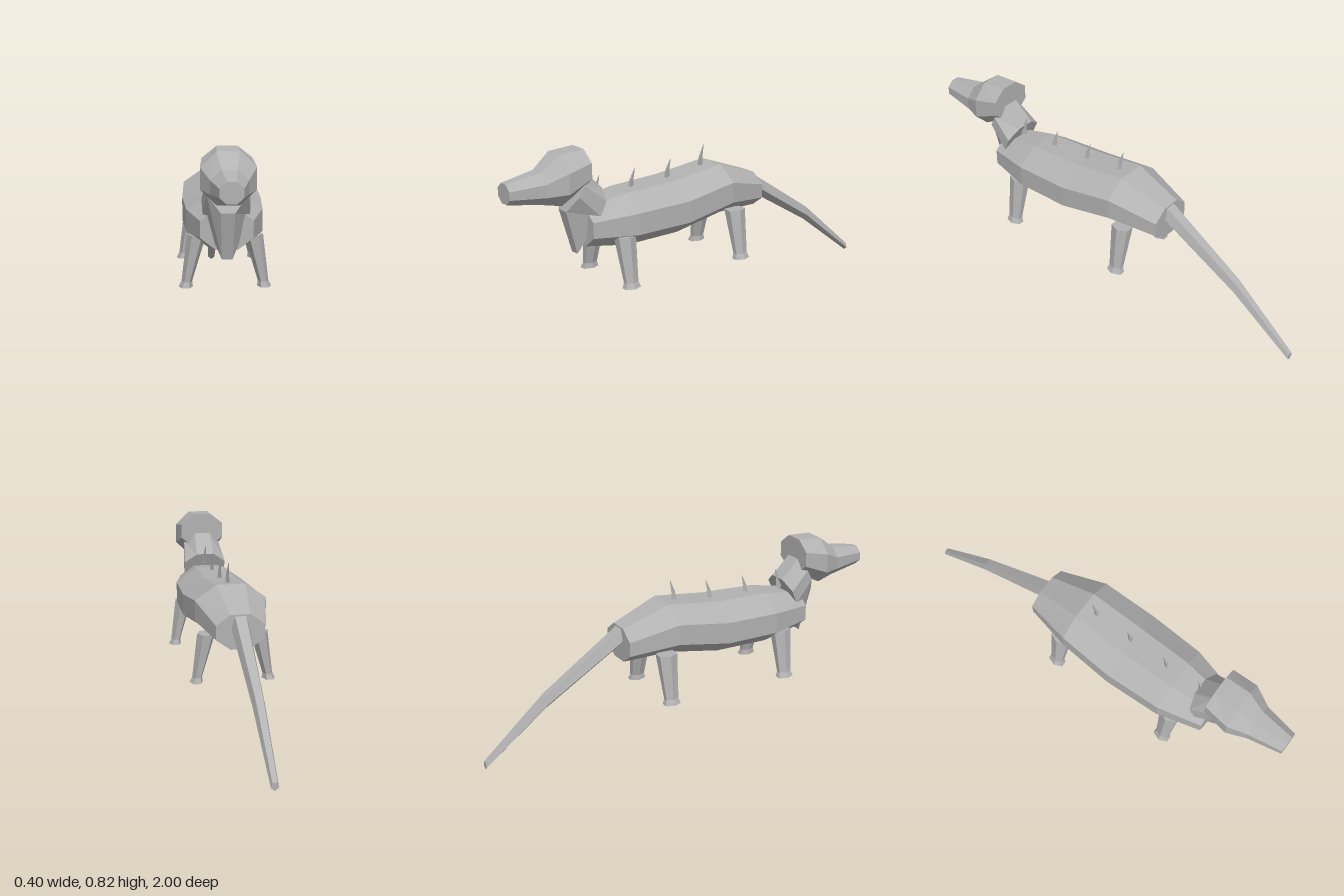
import * as THREE from 'three';

// Skin a list of closed rings (arrays of [x, y, z]) and cap both ends
function loft(rings) {
  const tris = [];
  const n = rings[0].length;
  const centre = (r) => [0, 1, 2].map((k) => r.reduce((s, p) => s + p[k], 0) / n);
  const first = rings[0], last = rings[rings.length - 1];
  const c0 = centre(first), c1 = centre(last);
  for (let i = 0; i < n; i++) {
    const j = (i + 1) % n;
    for (let k = 0; k < rings.length - 1; k++) {
      const a = rings[k], b = rings[k + 1];
      tris.push([a[i], a[j], b[j]], [a[i], b[j], b[i]]);
    }
    tris.push([c0, first[j], first[i]], [c1, last[i], last[j]]);
  }
  // Turn every face outward, judged by the signed volume
  const v = (p) => new THREE.Vector3(...p);
  const volume = tris.reduce((s, [a, b, c]) => s + v(a).dot(v(b).cross(v(c))), 0);
  if (volume < 0) tris.forEach((t) => t.reverse());
  const geo = new THREE.BufferGeometry();
  geo.setAttribute('position', new THREE.Float32BufferAttribute(tris.flat(2), 3));
  geo.computeVertexNormals();
  return geo;
}

// Upright octagon with flat top: half width, bottom and top heights
function octagon(z, w, bottom, top) {
  const cy = (bottom + top) / 2, h = (top - bottom) / 2, t = 0.41;
  return [[1, t], [t, 1], [-t, 1], [-1, t], [-1, -t], [-t, -1], [t, -1], [1, -t]]
    .map(([x, y]) => [x * w, cy + y * h, z]);
}

// Mirrored eight-point ring lying in a slanted plane, z = z0 + slope * y
function slantedRing(half, z0, slope) {
  const right = half.map(([x, y]) => [x, y, z0 + slope * y]);
  const left = right.map(([x, y, z]) => [-x, y, z]).reverse();
  return [...right, ...left];
}

// Level polygon ring
function levelRing(x, y, z, rx, rz, sides, turn = 0) {
  return Array.from({ length: sides }, (_, i) => {
    const a = turn + (i / sides) * Math.PI * 2;
    return [x + Math.cos(a) * rx, y, z + Math.sin(a) * rz];
  });
}

export function createModel() {
  const model = new THREE.Group();
  const grey = new THREE.MeshStandardMaterial({ color: 0xb2b2b2 });
  grey.name = 'grey';
  grey.flatShading = true;

  const add = (name, rings) => {
    const mesh = new THREE.Mesh(loft(rings), grey);
    mesh.name = name;
    model.add(mesh);
  };

  // Trunk
  add('body', [
    octagon(0.635, 0.112, 0.38, 0.555),
    octagon(0.43, 0.165, 0.35, 0.59),
    octagon(0.16, 0.178, 0.355, 0.6),
    octagon(-0.1, 0.166, 0.4, 0.632),
    octagon(-0.325, 0.11, 0.39, 0.55),
  ]);

  // Head and blunt snout
  add('head', [
    octagon(0.63, 0.105, 0.65, 0.818),
    octagon(0.75, 0.116, 0.587, 0.81),
    octagon(0.84, 0.078, 0.605, 0.745),
    octagon(1.0, 0.049, 0.632, 0.72),
  ]);

  // Neck, narrowing to a keel at the chest
  add('neck', [
    slantedRing([[0.042, 0.63], [0.104, 0.585], [0.1, 0.52], [0.022, 0.345]], 0.812, -0.431),
    slantedRing([[0.038, 0.72], [0.088, 0.67], [0.086, 0.62], [0.03, 0.55]], 1.011, -0.529),
  ]);

  // Tail: pentagon rings with a ridge underneath
  const tailStops = [[-0.32, 0.505, 0.043, 0.05], [-0.7, 0.265, 0.029, 0.038], [-1, 0.02, 0.018, 0.02]];
  add('tail', tailStops.map(([z, y, rx, ry]) =>
    levelRing(0, z, y, rx, ry, 5, -Math.PI / 2).map(([x, d, h]) => [x, h, d])));

  // Legs with slightly flared feet
  for (const [end, z] of [['front', 0.48], ['rear', -0.145]]) {
    for (const [side, s] of [['Left', 1], ['Right', -1]]) {
      add(`${end}${side}Leg`, [
        levelRing(s * 0.122, 0.42, z, 0.042, 0.052, 6),
        levelRing(s * 0.165, 0.215, z, 0.023, 0.036, 6),
        levelRing(s * 0.17, 0.19, z, 0.031, 0.045, 6),
      ]);
    }
  }

  // Row of curved back spines: position, base height, tip height
  for (const [z, base, tip] of [[0.55, 0.58, 0.675], [0.36, 0.575, 0.675], [0.16, 0.59, 0.685], [-0.032, 0.605, 0.722]]) {
    add('backSpine', [
      levelRing(0, base, z, 0.013, 0.016, 3, -Math.PI / 2),
      levelRing(0, (base + tip) / 2, z - 0.006, 0.008, 0.011, 3, -Math.PI / 2),
      levelRing(0, tip, z - 0.024, 0.001, 0.001, 3, -Math.PI / 2),
    ]);
  }

  return model;
}
